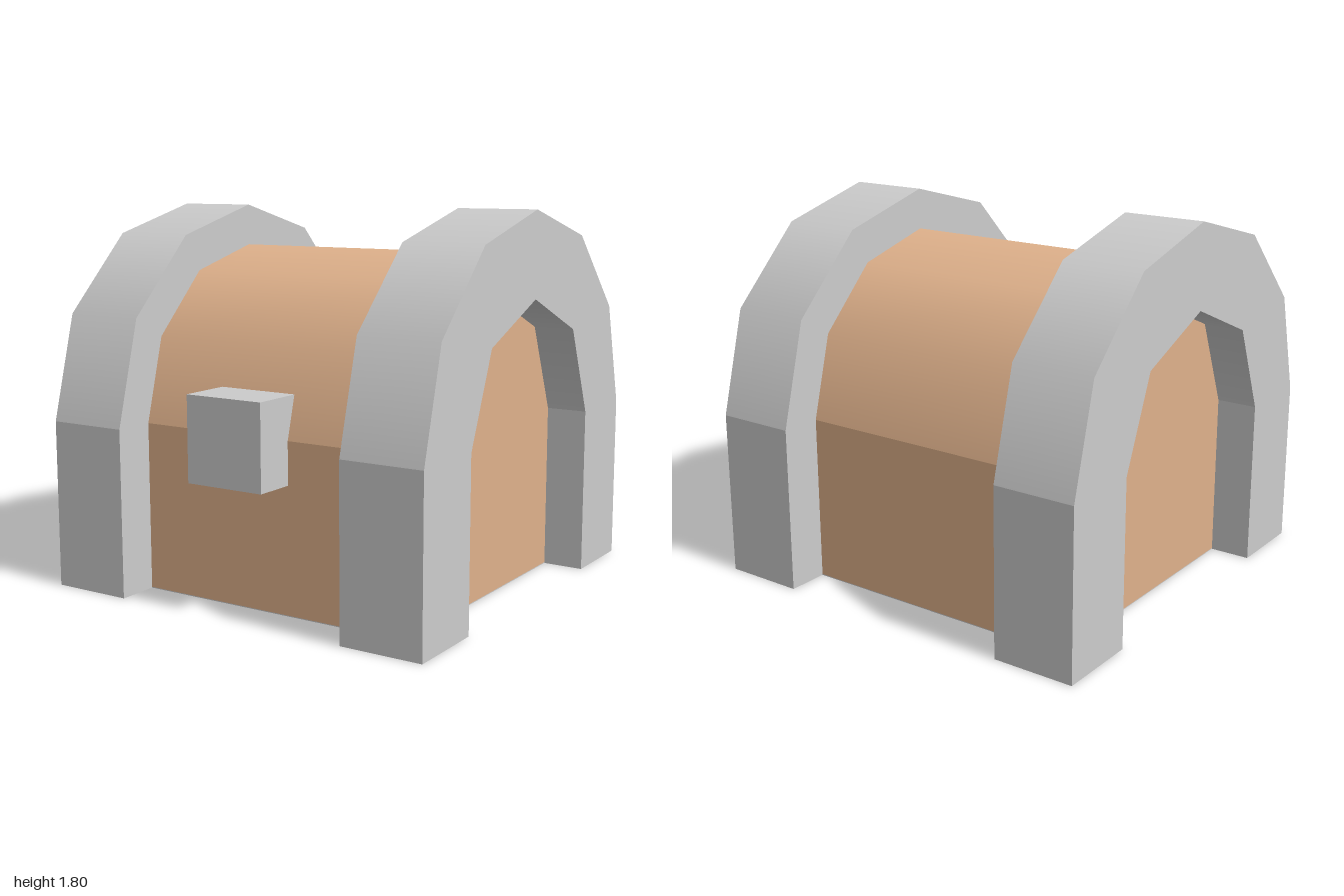
import * as THREE from 'three';

const SPRING = 0.8; // height where the straight walls turn into the vault
const grey = new THREE.MeshStandardMaterial({ color: 0xcccccc });
const wood = new THREE.MeshStandardMaterial({ color: 0xdfb18b });

// Points of a round-topped outline, from one foot over the vault to the other
function vault(radius, segments, floor = 0) {
  const points = [new THREE.Vector2(radius, floor)];
  for (let i = 0; i <= segments; i++) {
    const a = (i / segments) * Math.PI;
    points.push(new THREE.Vector2(radius * Math.cos(a), SPRING + radius * Math.sin(a)));
  }
  points.push(new THREE.Vector2(-radius, floor));
  return points;
}

// Extrude an outline along x; the vault is shaded smooth, the walls stay flat
function extrudeAlongX(points, width) {
  const geo = new THREE.ExtrudeGeometry(new THREE.Shape(points), { depth: width, bevelEnabled: false });
  geo.translate(0, 0, -width / 2).rotateY(Math.PI / 2);
  const pos = geo.attributes.position, nor = geo.attributes.normal;
  const radial = new THREE.Vector3(), facet = new THREE.Vector3();
  for (let i = 0; i < pos.count; i++) {
    facet.fromBufferAttribute(nor, i);
    if (pos.getY(i) < SPRING + 0.01 || Math.abs(facet.x) > 0.5) continue;
    radial.set(0, pos.getY(i) - SPRING, pos.getZ(i)).normalize();
    if (radial.dot(facet) < 0) radial.negate();
    nor.setXYZ(i, radial.x, radial.y, radial.z);
  }
  return geo;
}

export function createModel() {
  const group = new THREE.Group();
  const add = (name, geometry, material, x = 0, y = 0, z = 0) => {
    const mesh = new THREE.Mesh(geometry, material);
    mesh.name = name;
    mesh.position.set(x, y, z);
    group.add(mesh);
  };

  // Chest body, its ends set back inside the arches, on a thin grey base
  const base = 0.004;
  add('chestBody', extrudeAlongX(vault(0.8, 6, base), 1.6), wood);
  add('basePlate', new THREE.BoxGeometry(1.6, base, 1.6), grey, 0, base / 2, 0);

  // Arched end bands
  const band = extrudeAlongX([...vault(1, 6), ...vault(0.6, 4).reverse()], 0.4);
  add('leftBand', band, grey, 0.8);
  add('rightBand', band, grey, -0.8);

  // Lock block on the front
  add('lock', new THREE.BoxGeometry(0.4, 0.4, 0.4), grey, 0, 0.8, 0.8);

  return group;
}
